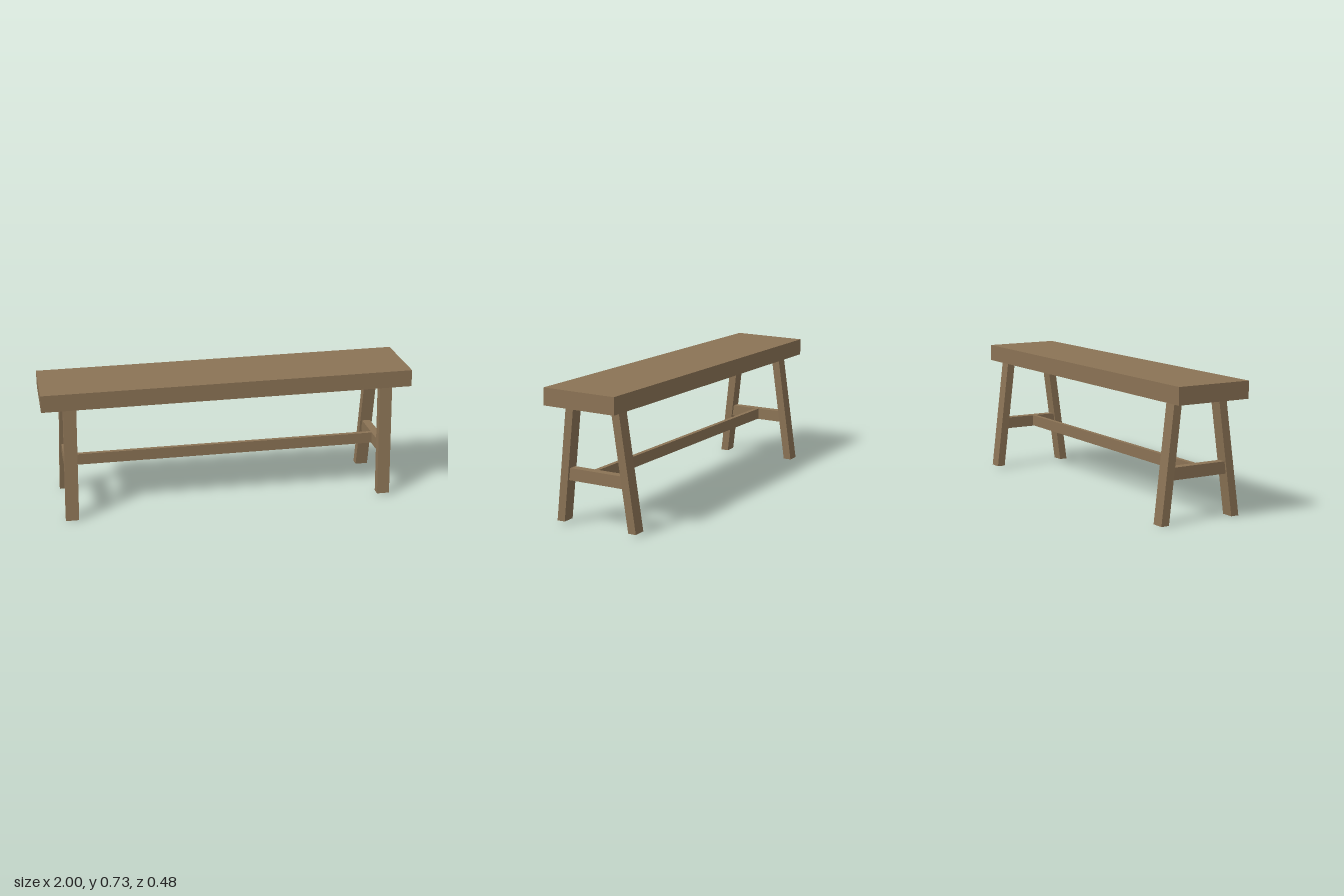
import * as THREE from 'three';

export function createModel() {
  const bench = new THREE.Group();
  bench.name = 'bench';
  const wood = new THREE.MeshStandardMaterial({ color: 0x8b7355, side: THREE.DoubleSide });
  wood.name = 'brown wood';

  function add(name, geometry) {
    const mesh = new THREE.Mesh(geometry, wood);
    mesh.name = name;
    bench.add(mesh);
    return mesh;
  }

  // Box without its bottom face
  function openBox(width, height, depth) {
    const g = new THREE.BoxGeometry(width, height, depth);
    const index = Array.from(g.index.array);
    index.splice(18, 6);
    g.setIndex(index);
    g.clearGroups();
    return g;
  }

  // Hollow post whose level ends are centred on two given points
  function slantedPost(name, bottom, top, width, depth) {
    const g = openBox(width, top[1] - bottom[1], depth);
    const p = g.attributes.position;
    for (let i = 0; i < p.count; i++) {
      const end = p.getY(i) > 0 ? top : bottom;
      p.setXYZ(i, p.getX(i) + end[0], end[1], p.getZ(i) + end[2]);
    }
    g.computeVertexNormals();
    return add(name, g);
  }

  // Seat: a shell open underneath, very slightly out of true
  const seat = add('seat', openBox(1.996, 0.091, 0.418));
  seat.position.set(0, 0.672, 0.0125);
  seat.rotation.set(-0.005, -0.0095, 0.01);

  for (const side of [-1, 1]) {
    const sideName = side > 0 ? 'left' : 'right';
    const lift = side * 0.007; // follows the lean of the seat
    const skew = -side * 0.002;

    // Splayed legs, reaching up inside the seat shell
    for (const front of [1, -1]) {
      slantedPost(
        sideName + (front > 0 ? 'FrontLeg' : 'BackLeg'),
        [0.863 * side, 0.009 + lift, 0.215 * front + skew],
        [0.862 * side + 0.016, 0.692 + lift, 0.126 * front + 0.004 + skew],
        0.069, 0.045
      );
    }

    // Cross rail joining the two legs
    const cross = add(sideName + 'CrossRail', new THREE.BoxGeometry(0.045, 0.064, 0.35));
    cross.position.set(0.863 * side + 0.005, 0.263 + lift, 0.002);
    cross.rotation.z = 0.01;
  }

  // Thin long rail between the cross rails
  const longRail = add('longRail', new THREE.BoxGeometry(1.69, 0.061, 0.024));
  longRail.position.set(0.005, 0.2645, 0.012);
  longRail.rotation.set(0, -0.014, 0.008);

  return bench;
}
